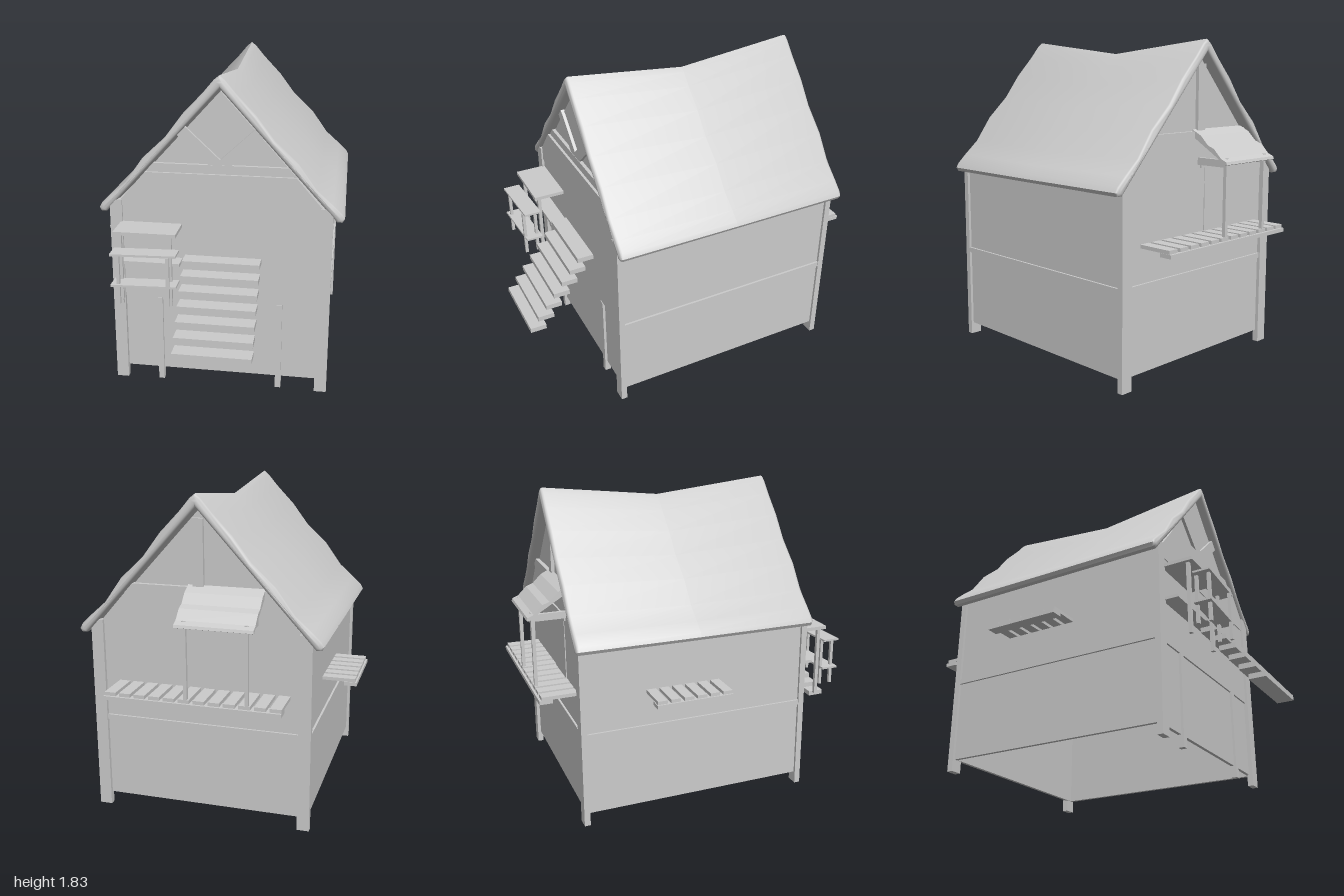
import * as THREE from 'three';
import { toCreasedNormals } from 'three/addons/utils/BufferGeometryUtils.js';

const CX = 0.055; // centre line of the house
const mat = new THREE.MeshStandardMaterial({ color: 0xcccccc });
const thin = new THREE.MeshStandardMaterial({ color: 0xcccccc, side: THREE.DoubleSide });

export function createModel() {
  const model = new THREE.Group();

  const part = (name, geo, m = mat) => {
    const mesh = new THREE.Mesh(geo, m);
    mesh.name = name;
    model.add(mesh);
    return mesh;
  };
  // box given by its extents on each axis
  const box = (name, x0, x1, y0, y1, z0, z1) => {
    const mesh = part(name, new THREE.BoxGeometry(x1 - x0, y1 - y0, z1 - z0));
    mesh.position.set((x0 + x1) / 2, (y0 + y1) / 2, (z0 + z1) / 2);
    return mesh;
  };
  // flat board between two points in the x-y plane
  const brace = (name, ax, ay, bx, by, w, z0, z1) => {
    const len = Math.hypot(bx - ax, by - ay);
    const mesh = part(name, new THREE.BoxGeometry(len, w, z1 - z0));
    mesh.position.set((ax + bx) / 2, (ay + by) / 2, (z0 + z1) / 2);
    mesh.rotation.z = Math.atan2(by - ay, bx - ax);
  };
  const extrude = (pts, depth, opts = {}) => new THREE.ExtrudeGeometry(
    new THREE.Shape(pts.map(p => new THREE.Vector2(...p))),
    { depth, bevelEnabled: false, ...opts });

  // walls, open at the bottom
  box('frontLowerWall', -0.55, 0.66, 0.07, 0.53, 0.555, 0.575);
  box('frontUpperWall', -0.55, 0.66, 0.53, 1.05, 0.555, 0.585);
  box('backWall', -0.55, 0.66, 0.07, 1.05, -0.77, -0.75);
  for (const s of [-1, 1]) {
    const a = CX + s * 0.59, b = CX + s * 0.61;
    box('sideWall', Math.min(a, b), Math.max(a, b), 0.07, 1.08, -0.77, 0.58);
    const c = CX + s * 0.575, d = CX + s * 0.622;
    box('sideBeam', Math.min(c, d), Math.max(c, d), 0.53, 0.56, -0.77, 0.58);
    // corner posts
    const e = CX + s * 0.555, f = CX + s * 0.625;
    box('frontCornerPost', Math.min(e, f), Math.max(e, f), 0, 1.12, 0.565, 0.6);
    box('backCornerPost', Math.min(e, f), Math.max(e, f), 0, 1.12, -0.79, -0.755);
  }
  box('interiorFloor', -0.54, 0.65, 0.72, 0.75, -0.75, 0.555);
  box('backBeam', -0.5, 0.61, 0.53, 0.56, -0.782, -0.74);
  box('frontInnerBeam', -0.5, 0.61, 0.53, 0.56, 0.535, 0.56);
  box('frontPost', -0.315, -0.282, 0, 0.53, 0.555, 0.59);
  box('frontPost', 0.38, 0.413, 0, 0.53, 0.555, 0.59);

  // gables with tall lintel, tie beam and timber bracing
  const gable = [[-0.6, 1.04], [0.6, 1.04], [0.6, 1.08], [0, 1.74], [-0.6, 1.08]];
  const lintel = [[-0.59, 1.04], [0.59, 1.04], [0.59, 1.09], [0.42, 1.285], [-0.42, 1.285], [-0.59, 1.09]];
  const tie = [[-0.42, 1.285], [0.42, 1.285], [0.375, 1.335], [-0.375, 1.335]];
  for (const [name, pts, depth, z] of [
    ['frontGable', gable, 0.02, 0.535], ['frontLintel', lintel, 0.045, 0.545], ['frontTieBeam', tie, 0.03, 0.545],
    ['backGable', gable, 0.02, -0.755], ['backLintel', lintel, 0.02, -0.772], ['backTieBeam', tie, 0.035, -0.78]])
    part(name, extrude(pts, depth)).position.set(CX, 0, z);
  for (const s of [-1, 1]) {
    brace('frontBrace', CX, 1.32, CX + s * 0.215, 1.52, 0.065, 0.55, 0.573);
  }
  box('backKingPost', CX - 0.03, CX + 0.03, 1.33, 1.7, -0.775, -0.75);

  // swaybacked roof with rounded, slightly wavy slopes
  const slope = [[0.03, 1.806], [0.09, 1.735], [0.2, 1.62], [0.3, 1.487], [0.43, 1.365],
    [0.53, 1.225], [0.62, 1.145], [0.672, 1.095], [0.687, 1.068], [0.675, 1.047], [0.645, 1.047]];
  const section = [[0, 1.83], ...slope, [0, 1.76], ...slope.slice().reverse().map(([x, y]) => [-x, y])];
  const bev = 0.018, z0 = -0.815, z1 = 0.605;
  const roofGeo = extrude(section.reverse(), z1 - z0 - 2 * bev, {
    steps: 2, bevelEnabled: true, bevelSize: bev, bevelOffset: -bev, bevelThickness: bev, bevelSegments: 3 });
  roofGeo.translate(CX, 0, z0 + bev);
  const p = roofGeo.attributes.position;
  const mid = (z0 + z1) / 2, half = (z1 - z0) / 2 - bev;
  for (let i = 0; i < p.count; i++) {
    const sag = Math.max(0, 1 - Math.abs(p.getZ(i) - mid) / half);
    p.setY(i, p.getY(i) - 0.075 * sag * Math.max(0, (p.getY(i) - 1.05) / 0.78));
  }
  part('roof', toCreasedNormals(roofGeo, 0.8), thin);

  // front stairs
  for (let i = 0; i < 7; i++) {
    const y = 0.37 + i * 0.0675, z = 1 - i * 0.053;
    box('stairTread', -0.145, 0.29, y, y + 0.03, Math.max(z - 0.097, 0.585), z);
  }

  // front porch shelf on posts
  box('porchTop', -0.51, -0.16, 0.97, 0.99, 0.58, 0.768);
  box('porchLedge', -0.51, -0.16, 0.766, 0.784, 0.58, 0.68);
  for (const x of [-0.48, -0.2]) box('porchPost', x - 0.01, x + 0.01, 0.55, 0.97, 0.722, 0.742);

  // slightly skewed stand with two boards and four legs
  for (const y of [0.885, 0.706]) {
    const board = part('standBoard', extrude(
      [[-0.505, -0.865], [-0.145, -0.845], [-0.145, -0.745], [-0.505, -0.765]], 0.012));
    board.rotation.x = -Math.PI / 2;
    board.position.y = y;
  }
  for (const x of [-0.465, -0.19])
    for (const z of [0.77, 0.842])
      box('standLeg', x - 0.009, x + 0.009, 0.6, 0.887, z - 0.009, z + 0.009);

  // right side shelf of slats
  for (let i = 0; i < 6; i++) {
    const z = -0.405 + i * 0.0775;
    box('sideShelfSlat', -0.74, -0.545, 0.753, 0.772, z, z + 0.056);
  }
  box('sideShelfRail', -0.75, -0.68, 0.732, 0.753, -0.41, 0.04);

  // back balcony
  for (let i = 0; i < 12; i++) {
    const x = -0.452 + i * 0.0835;
    box('balconySlat', x, x + 0.063, 0.752, 0.772, -0.972, -0.76);
  }
  box('balconyRail', -0.452, 0.532, 0.73, 0.752, -0.985, -0.91);

  // back door
  box('backDoor', -0.22, 0.02, 0.772, 1.13, -0.775, -0.755);
  box('backDoorHead', -0.26, 0.06, 1.13, 1.16, -0.782, -0.755);

  // wavy awning over the balcony, with frame and posts
  for (const x of [-0.265, 0.07]) {
    box('awningPost', x - 0.01, x + 0.01, 0.77, 1.2, -0.97, -0.95);
    box('awningArm', x - 0.01, x + 0.01, 1.15, 1.19, -0.955, -0.76);
  }
  box('awningBar', -0.29, 0.095, 1.175, 1.195, -0.97, -0.95);
  const top = [[0.76, 1.345], [0.82, 1.315], [0.87, 1.265], [0.91, 1.25], [0.96, 1.2], [0.995, 1.185], [1, 1.17]];
  const under = [[0.985, 1.165], [0.94, 1.2], [0.76, 1.31]];
  const awning = part('awning', extrude([...top, ...under], 0.425));
  awning.rotation.y = Math.PI / 2;
  awning.position.x = -0.31;

  return model;
}
